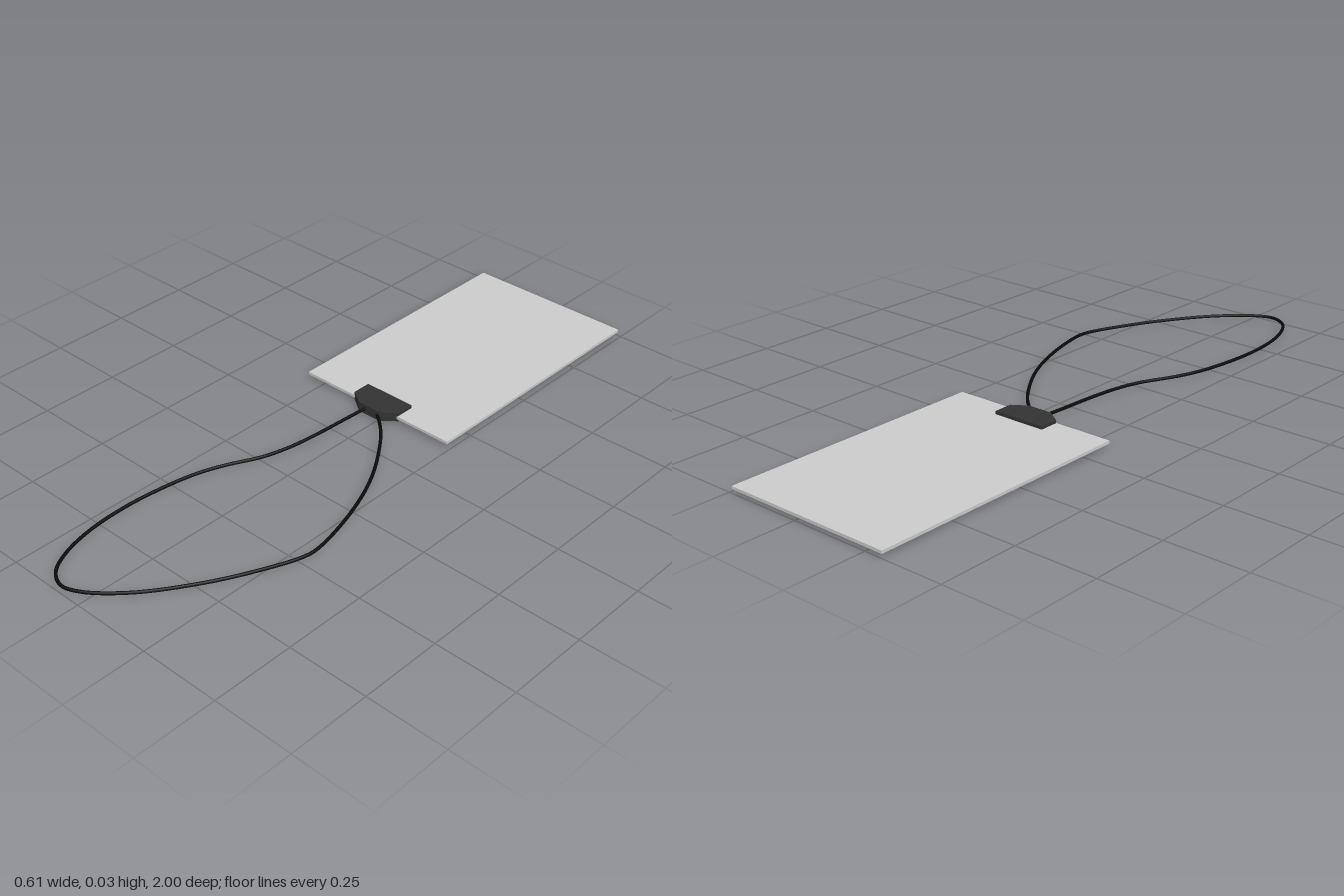
import * as THREE from 'three';

const CORD_Y = 0.016;
const CORD_R = 0.005;

const material = (color) => new THREE.MeshStandardMaterial({ color });

function addPart(group, name, geometry, mat) {
  const mesh = new THREE.Mesh(geometry, mat);
  mesh.name = name;
  group.add(mesh);
  return mesh;
}

// Clip body: a six-sided outline (x, z) raised to a plate, its underside bowed along x
function clipGeometry() {
  const outline = [
    [-0.12, -0.217], [0.051, -0.217], [0.051, -0.157],
    [0.005, -0.126], [-0.074, -0.126], [-0.12, -0.157],
  ];
  const shape = new THREE.Shape(outline.map(([x, z]) => new THREE.Vector2(x, -z)));
  const geometry = new THREE.ExtrudeGeometry(shape, { depth: 0.031, bevelEnabled: false });
  geometry.rotateX(-Math.PI / 2);
  const p = geometry.attributes.position;
  for (let i = 0; i < p.count; i++) {
    if (p.getY(i) < 0.01 && Math.abs(p.getX(i) + 0.0345) > 0.06) p.setY(i, 0.004);
  }
  geometry.computeVertexNormals();
  return geometry;
}

// Cord: a flat loop leaving the clip on one side and returning on the other
function cordGeometry() {
  const points = [
    [-0.052, -0.14], [-0.057, -0.06], [-0.066, 0.08], [-0.078, 0.17], [-0.1, 0.25],
    [-0.148, 0.35], [-0.178, 0.435], [-0.198, 0.55], [-0.206, 0.67], [-0.196, 0.8],
    [-0.168, 0.9], [-0.128, 0.965], [-0.075, 0.991], [-0.018, 0.972], [0.08, 0.885],
    [0.188, 0.73], [0.26, 0.587], [0.295, 0.495], [0.3, 0.445], [0.26, 0.275],
    [0.19, 0.11], [0.08, -0.05], [0.025, -0.105], [-0.02, -0.14],
  ].map(([x, z]) => new THREE.Vector3(x, CORD_Y, z));
  const path = new THREE.CatmullRomCurve3(points, false, 'centripetal');
  return new THREE.TubeGeometry(path, 200, CORD_R, 10, false);
}

export function createModel() {
  const model = new THREE.Group();
  model.name = 'cardOnLanyard';

  // Flat card
  const card = addPart(model, 'card', new THREE.BoxGeometry(0.547, 0.009, 0.845), material(0xcccccc));
  card.position.set(-0.0345, 0.0165, -0.5775);

  // Clip gripping the card's edge
  addPart(model, 'clip', clipGeometry(), material(0x333333));

  // Neck cord
  addPart(model, 'cord', cordGeometry(), material(0x0a0a0a));

  return model;
}
